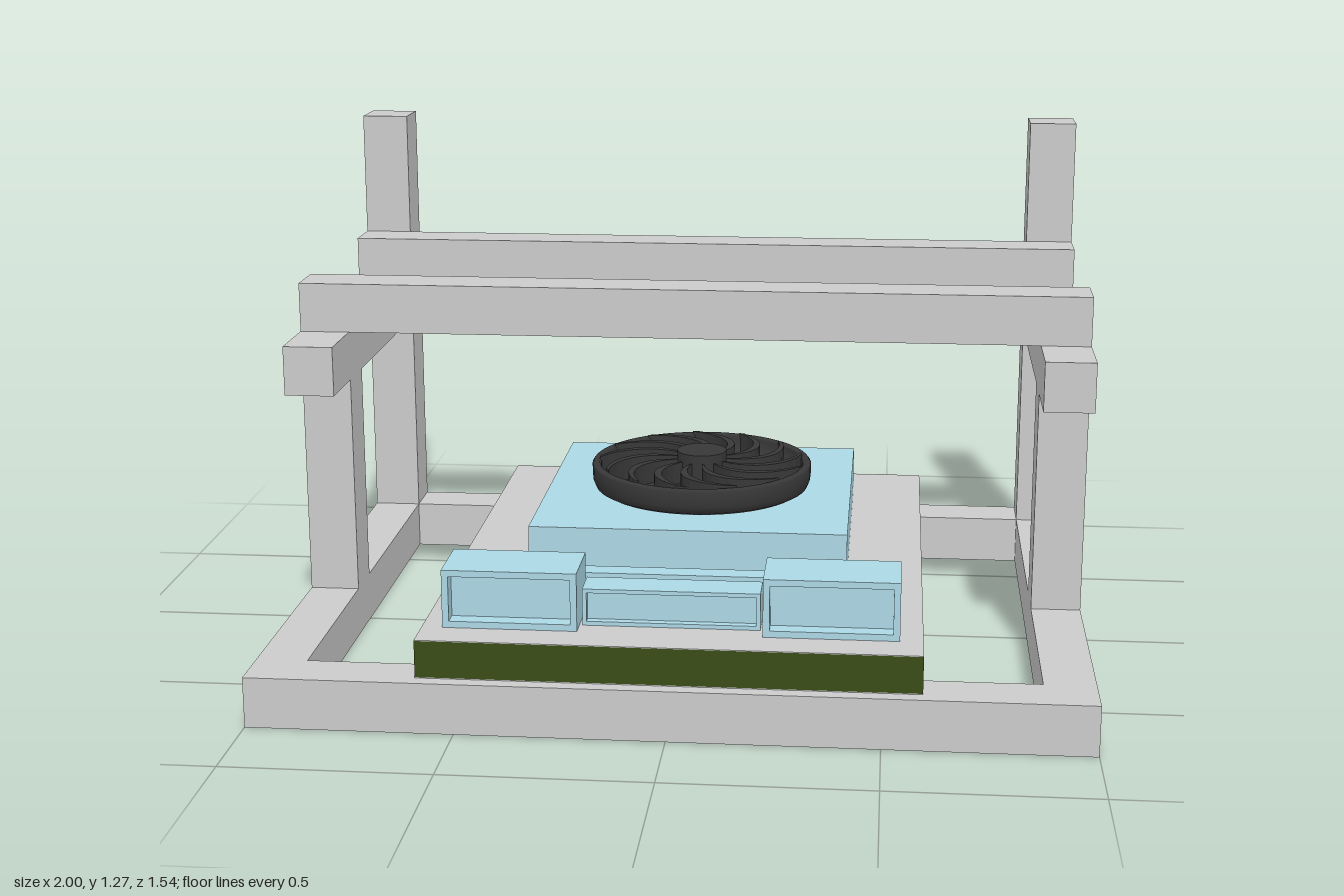
import * as THREE from 'three';

const grey = new THREE.MeshStandardMaterial({ color: 0xcccccc });
const blue = new THREE.MeshStandardMaterial({ color: 0xadd8e6 });
const green = new THREE.MeshStandardMaterial({ color: 0x394c16 });
const dark = new THREE.MeshStandardMaterial({ color: 0x383838 });

function add(parent, name, geometry, material) {
  const mesh = new THREE.Mesh(geometry, material);
  mesh.name = name;
  parent.add(mesh);
  return mesh;
}

// Box given by its extents along each axis
function box(parent, name, material, [x0, x1], [y0, y1], [z0, z1]) {
  const mesh = add(parent, name, new THREE.BoxGeometry(x1 - x0, y1 - y0, z1 - z0), material);
  mesh.position.set((x0 + x1) / 2, (y0 + y1) / 2, (z0 + z1) / 2);
  return mesh;
}

// Block whose front face is recessed behind a thin border
function socket(parent, name, [x0, x1], [y0, y1], [z0, z1], border, depth) {
  const group = new THREE.Group();
  group.name = name;
  parent.add(group);
  const rect = (P, inset) => {
    const p = new P();
    p.moveTo(x0 + inset, y0 + inset);
    p.lineTo(x1 - inset, y0 + inset);
    p.lineTo(x1 - inset, y1 - inset);
    p.lineTo(x0 + inset, y1 - inset);
    p.closePath();
    return p;
  };
  const shape = rect(THREE.Shape, 0);
  shape.holes.push(rect(THREE.Path, border));
  const rim = add(group, name + 'Rim', new THREE.ExtrudeGeometry(shape, { depth, bevelEnabled: false }), blue);
  rim.position.z = z1 - depth;
  box(group, name + 'Body', blue, [x0, x1], [y0, y1], [z0, z1 - depth]);
}

function createFrame() {
  const frame = new THREE.Group();
  frame.name = 'frame';
  const W = 0.125, Z = 0.77, full = [-1, 1];
  // Base rectangle
  box(frame, 'baseFrontBeam', grey, full, [0, W], [Z - W, Z]);
  box(frame, 'baseBackBeam', grey, full, [0, W], [-Z, W - Z]);
  for (const [side, x] of [['left', [1 - W, 1]], ['right', [-1, W - 1]]]) {
    box(frame, side + 'BaseBeam', grey, x, [0, W], [W - Z, Z - W]);
    box(frame, side + 'BackPost', grey, x, [W, 1.27], [-Z, W - Z]);
    box(frame, side + 'FrontPost', grey, x, [W, 0.69], [-0.005, 0.12]);
    box(frame, side + 'UpperRail', grey, x, [0.69, 0.815], [W - Z, 0.295]);
  }
  // Crossbeams resting on the rails
  box(frame, 'frontCrossbeam', grey, full, [0.815, 0.94], [-0.005, 0.12]);
  box(frame, 'backCrossbeam', grey, full, [0.815, 0.94], [W - Z, -0.525]);
  return frame;
}

function createBoard() {
  const board = new THREE.Group();
  board.name = 'board';
  const x = [-0.595, 0.595], z = [-0.755, 0.735];
  // Green core between thin grey skins
  box(board, 'boardCore', green, x, [0.127, 0.217], z);
  box(board, 'boardTop', grey, x, [0.217, 0.219], z);
  box(board, 'boardBottom', grey, x, [0.125, 0.127], z);
  // Parts mounted on the board
  box(board, 'mainBlock', blue, [-0.405, 0.405], [0.219, 0.34], [-0.595, 0.217]);
  box(board, 'lowBar', blue, [-0.41, 0.405], [0.219, 0.263], [0.285, 0.34]);
  socket(board, 'rightSocket', [-0.545, -0.222], [0.219, 0.362], [0.48, 0.643], 0.016, 0.04);
  socket(board, 'leftSocket', [0.218, 0.54], [0.219, 0.362], [0.48, 0.643], 0.016, 0.04);
  socket(board, 'middleSocket', [-0.215, 0.21], [0.219, 0.31], [0.508, 0.598], 0.01, 0.02);
  return board;
}

function createFan() {
  const fan = new THREE.Group();
  fan.name = 'fan';
  fan.position.set(0.003, 0.34, -0.19);
  // Dished housing with a raised outer ring
  const profile = [
    [0, 0], [0.27, 0], [0.285, 0.008], [0.292, 0.025], [0.294, 0.045], [0.294, 0.066],
    [0.290, 0.071], [0.275, 0.071], [0.271, 0.066], [0.271, 0.02], [0, 0.02],
  ].map(([r, y]) => new THREE.Vector2(r, y));
  add(fan, 'fanHousing', new THREE.LatheGeometry(profile, 64), dark);
  // Hub with a wider foot
  const hub = add(fan, 'fanHub', new THREE.CylinderGeometry(0.066, 0.066, 0.085, 40), dark);
  hub.position.y = 0.0575;

  // Curved blade: a swept strip, repeated around the hub
  const edge = (shift) => {
    const points = [];
    for (let i = 0; i <= 10; i++) {
      const t = i / 10, r = 0.06 + 0.215 * t;
      const a = 0.75 * t * t + shift * (0.45 + 0.55 * Math.sin(Math.PI * t));
      points.push(new THREE.Vector2(r * Math.cos(a), r * Math.sin(a)));
    }
    return points;
  };
  const outline = [...edge(-0.07), ...edge(0.07).reverse()];
  const blade = new THREE.ExtrudeGeometry(new THREE.Shape(outline), { depth: 0.058, bevelEnabled: false });
  blade.rotateX(-Math.PI / 2);
  const count = 13;
  for (let i = 0; i < count; i++) {
    const mesh = add(fan, 'fanBlade', blade, dark);
    mesh.position.y = 0.019;
    mesh.rotation.y = (i / count) * Math.PI * 2;
  }
  return fan;
}

export function createModel() {
  const model = new THREE.Group();
  model.name = 'testBench';
  model.add(createFrame(), createBoard(), createFan());
  return model;
}
